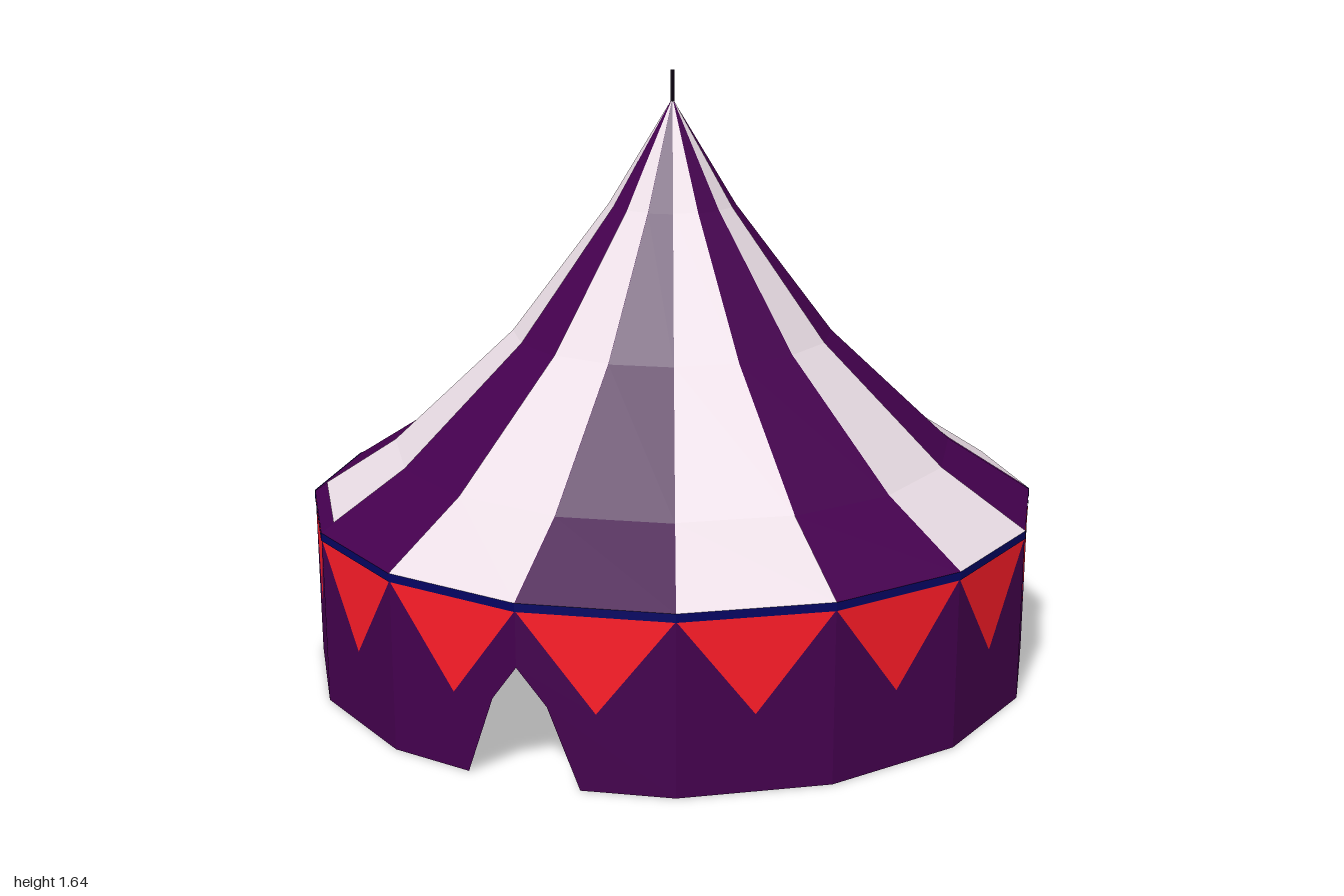
import * as THREE from 'three';
import { mergeGeometries } from 'three/addons/utils/BufferGeometryUtils.js';

const SIDES = 16;
const STEP = (Math.PI * 2) / SIDES;
const EAVE = 0.467; // top of the wall
const HEM = 0.449;  // base line of the pennants, at the lower edge of the band
const TIP = 0.2;    // lowest point of each pennant
const wallRadius = (y) => 0.994 + 0.004 * (y / EAVE);

const mat = (color, side = THREE.DoubleSide) =>
  new THREE.MeshStandardMaterial({ color, side, flatShading: true });

// Flat polygon on one side of the tent: f runs 0..1 across the side, y is height
function wallPiece(side, outline) {
  const geo = new THREE.ShapeGeometry(new THREE.Shape(outline.map(([f, y]) => new THREE.Vector2(f, y))));
  const pos = geo.attributes.position;
  const a = side * STEP, b = a + STEP;
  for (let i = 0; i < pos.count; i++) {
    const f = pos.getX(i), y = pos.getY(i), r = wallRadius(y);
    pos.setXYZ(i,
      r * THREE.MathUtils.lerp(Math.sin(a), Math.sin(b), f), y,
      r * THREE.MathUtils.lerp(Math.cos(a), Math.cos(b), f));
  }
  geo.computeVertexNormals();
  return geo;
}

export function createModel() {
  const tent = new THREE.Group();
  tent.name = 'circusTent';
  const purple = mat(0x44004e);
  const red = mat(0xff1c28);
  const cream = mat(0xeaddE5, THREE.FrontSide);
  const navy = mat(0x040462);
  const dark = mat(0x12021a);

  const add = (name, geo, material) => {
    const mesh = new THREE.Mesh(geo, material);
    mesh.name = name;
    tent.add(mesh);
    return mesh;
  };

  // Wall sides with the pennants cut out; the pointed doorway sits on the corner between sides 0 and 1
  const door = [[0.395, 0], [0.19, 0.21], [0, 0.305]];
  const walls = [], pennants = [];
  for (let i = 0; i < SIDES; i++) {
    let left = [[0, 0]], right = [[1, 0]];
    if (i === 1) left = door.slice().reverse();
    if (i === 0) right = door.map(([f, y]) => [1 - f, y]);
    walls.push(wallPiece(i, [...left, ...right, [1, HEM], [0.5, TIP], [0, HEM]]));
    walls.push(wallPiece(i, [[0, HEM], [1, HEM], [1, EAVE], [0, EAVE]]));
    pennants.push(wallPiece(i, [[0, HEM], [0.5, TIP], [1, HEM]]));
  }
  add('wall', mergeGeometries(walls), purple);
  add('pennants', mergeGeometries(pennants), red);

  // Navy band under the eave
  const band = new THREE.CylinderGeometry(1, 1, 0.022, SIDES, 1, true);
  add('eaveBand', band, navy).position.y = 0.458;

  // Sagging canvas roof
  const profile = [[0.999, 0.467], [0.768, 0.615], [0.437, 0.925], [0.172, 1.275], [0, 1.56]];
  const toPoints = (p, dr = 0, dy = 0) =>
    p.map(([r, y]) => new THREE.Vector2(r > 0 ? r + dr : 0, y + dy));
  add('roof', new THREE.LatheGeometry(toPoints(profile), SIDES), purple);

  // Pale stripes on every other side; those on the right half stop short of the eave
  const shortProfile = [[0.964, 0.4895], ...profile.slice(1)];
  const stripes = [];
  for (let i = 0; i < SIDES; i += 2) {
    const pts = toPoints(i < SIDES / 2 ? profile : shortProfile, 0.001, 0.002);
    stripes.push(new THREE.LatheGeometry(pts, 1, i * STEP, STEP));
  }
  add('roofStripes', mergeGeometries(stripes), cream);

  // Pole tip
  add('poleTip', new THREE.CylinderGeometry(0.005, 0.005, 0.12, 8), dark).position.y = 1.577;

  return tent;
}
